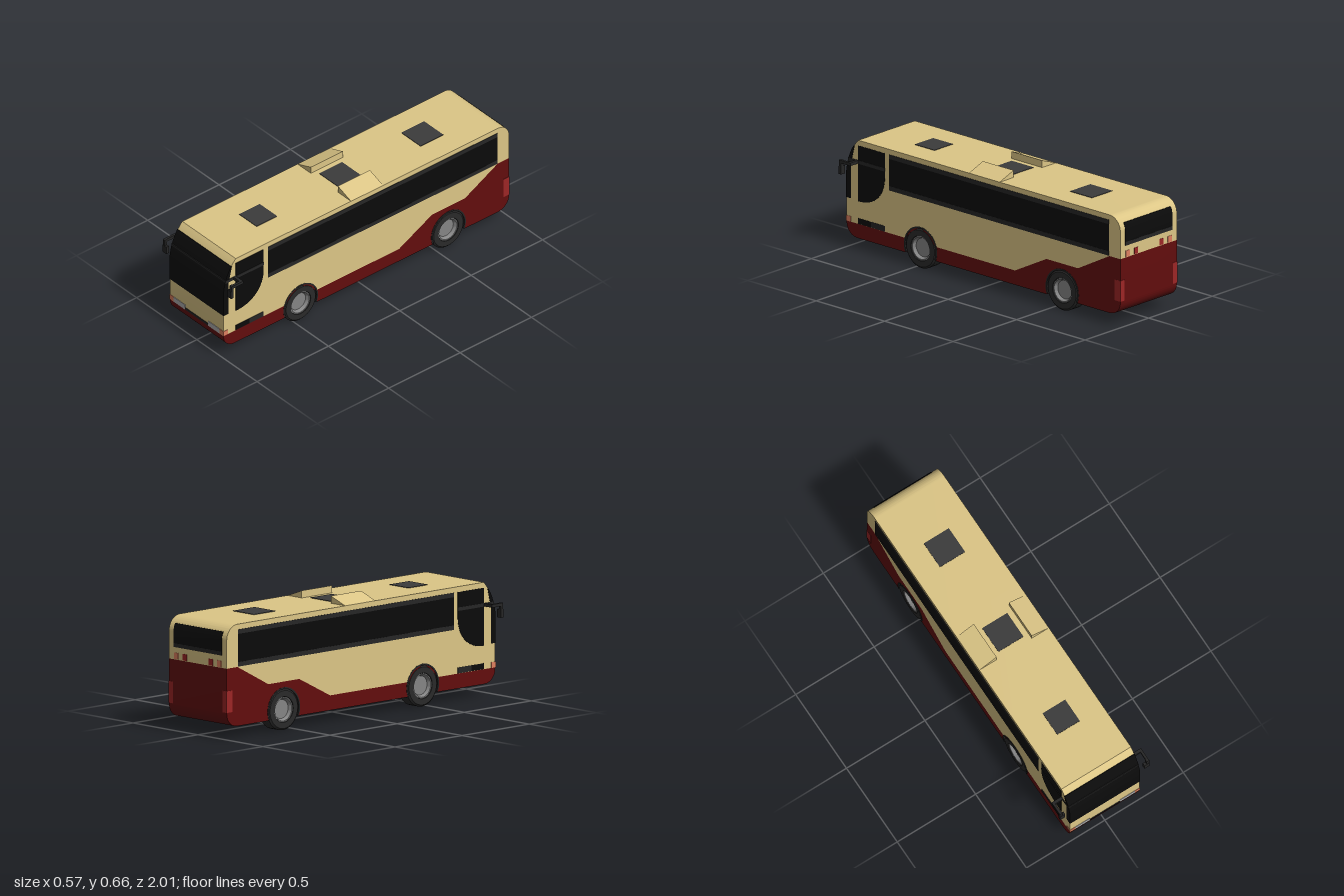
import * as THREE from 'three';
import { toCreasedNormals } from 'three/addons/utils/BufferGeometryUtils.js';

const W = 0.222;             // half width of the body
const SKIN = W + 0.0015;     // half width of glass and trim
const WHEEL_Z = [0.46, -0.575];
const WHEEL_Y = 0.113, ARCH_R = 0.12;

const paint = (color) => new THREE.MeshStandardMaterial({ color });
const MAT = {
  cream: paint(0xdcc686), red: paint(0x620d0d), glass: paint(0x0b0b0b), trim: paint(0x262626),
  floor: paint(0x131313), tyre: paint(0x2a2a2a), hatch: paint(0x3c3c3c), steel: paint(0x858585),
  lamp: paint(0xb2b2b2), amber: paint(0xdf8060), tail: paint(0x9c2626),
};

export function createModel() {
  const model = new THREE.Group();

  const add = (name, geometry, material, parent = model) => {
    const mesh = new THREE.Mesh(geometry, material);
    mesh.name = name;
    parent.add(mesh);
    return mesh;
  };
  // Extrude a side outline drawn in (z, y) from x0 to x1
  const slab = (name, shape, material, x0 = -SKIN, x1 = SKIN) => {
    const g = new THREE.ExtrudeGeometry(shape, { depth: x1 - x0, bevelEnabled: false, curveSegments: 16 });
    g.rotateY(-Math.PI / 2).translate(x1, 0, 0);
    return add(name, toCreasedNormals(g, 0.5), material);
  };
  const poly = (points) => new THREE.Shape(points.map(([z, y]) => new THREE.Vector2(z, y)));
  const rect = (z0, z1, y0, y1) => poly([[z0, y0], [z1, y0], [z1, y1], [z0, y1]]);
  const box = (name, material, x0, x1, y0, y1, z0, z1, parent) => {
    const g = new THREE.BoxGeometry(x1 - x0, y1 - y0, z1 - z0);
    g.translate((x0 + x1) / 2, (y0 + y1) / 2, (z0 + z1) / 2);
    return add(name, g, material, parent);
  };

  // Curved nose above the vertical front panel
  const nose = new THREE.QuadraticBezierCurve(
    new THREE.Vector2(1, 0.43), new THREE.Vector2(0.985, 0.55), new THREE.Vector2(0.915, 0.62)).getPoints(12);

  // Wheel arch cut into an edge at height y, walking from rear to front or back
  const arch = (shape, z, y, forward) => {
    const a = Math.asin((y - WHEEL_Y) / ARCH_R);
    if (forward) shape.absarc(z, WHEEL_Y, ARCH_R, Math.PI - a, a, true);
    else shape.absarc(z, WHEEL_Y, ARCH_R, a, Math.PI - a, false);
  };

  // Upper body
  const upper = new THREE.Shape();
  upper.moveTo(-1, 0.387).lineTo(-0.92, 0.387).lineTo(-0.69, 0.265).lineTo(-0.46, 0.265).lineTo(-0.23, 0.147);
  arch(upper, WHEEL_Z[0], 0.147, true);
  upper.lineTo(1, 0.147);
  nose.forEach((p) => upper.lineTo(p.x, p.y));
  upper.lineTo(-0.92, 0.62);
  upper.absarc(-0.92, 0.54, 0.08, Math.PI / 2, Math.PI, false);
  upper.closePath();
  slab('upperBody', upper, MAT.cream, -W, W);

  // Red skirt sweeping up to the rear
  const skirt = new THREE.Shape();
  skirt.moveTo(-0.925, 0.067);
  arch(skirt, WHEEL_Z[1], 0.067, true);
  arch(skirt, WHEEL_Z[0], 0.067, true);
  skirt.lineTo(0.925, 0.067);
  skirt.absarc(0.925, 0.142, 0.075, -Math.PI / 2, 0, false);
  skirt.lineTo(1, 0.147);
  arch(skirt, WHEEL_Z[0], 0.147, false);
  skirt.lineTo(-0.23, 0.147).lineTo(-0.46, 0.265).lineTo(-0.69, 0.265).lineTo(-0.92, 0.387).lineTo(-1, 0.387);
  skirt.lineTo(-1, 0.142);
  skirt.absarc(-0.925, 0.142, 0.075, Math.PI, Math.PI * 1.5, false);
  slab('lowerSkirt', skirt, MAT.red, -W, W);

  // Underside: chassis between the wheels and floor panels between the arches
  box('chassis', MAT.floor, -0.142, 0.142, 0.0655, 0.236, -0.92, 0.92);
  for (const [z0, z1] of [[0.575, 0.92], [-0.46, 0.345], [-0.92, -0.69]])
    box('floorPanel', MAT.floor, -0.221, 0.221, 0.0655, 0.07, z0, z1);

  // Windscreen wrapped over the nose
  slab('windscreen', poly([[0.967, 0.28], [1.002, 0.28],
    ...nose.slice(0, 10).map((p) => [p.x + 0.002, p.y + 0.001]), [0.942, 0.583], [0.967, 0.48]]), MAT.glass);

  // Cab window with a rounded lower rear corner
  const cab = new THREE.Shape();
  cab.moveTo(0.915, 0.275).lineTo(0.915, 0.59).lineTo(0.72, 0.59).lineTo(0.72, 0.46);
  cab.bezierCurveTo(0.72, 0.35, 0.79, 0.275, 0.915, 0.275);
  slab('cabWindow', cab, MAT.glass);
  slab('frontBand', rect(0.72, 0.989, 0.488, 0.507), MAT.trim, -W - 0.003, W + 0.003);

  // Passenger windows with rails
  slab('sideWindows', rect(-0.917, 0.69, 0.39, 0.59), MAT.glass);
  slab('upperWindowRail', rect(-0.917, 0.69, 0.567, 0.591), MAT.trim, -W - 0.0025, W + 0.0025);
  slab('lowerWindowRail', rect(-0.917, 0.69, 0.389, 0.414), MAT.trim, -W - 0.0025, W + 0.0025);

  // Side vents behind the bumper
  slab('sideVent', rect(0.82, 0.915, 0.148, 0.18), MAT.glass);
  slab('sideVentCover', rect(0.72, 0.82, 0.148, 0.18), MAT.trim);

  // Rear window following the roof curve
  slab('rearWindow', poly([[-0.96, 0.455], [-0.96, 0.583], [-0.991, 0.583], [-0.999, 0.565],
    [-1.003, 0.54], [-1.003, 0.455]]), MAT.glass, -0.185, 0.185);
  box('rearWindowRail', MAT.trim, -0.185, 0.185, 0.455, 0.476, -1.004, -0.99);

  // Front grille
  box('grille', MAT.trim, -0.096, 0.096, 0.147, 0.161, 0.98, 1.0025);

  // Roof hatches
  for (const [z, r] of [[0.57, 0.072], [-0.005, 0.08], [-0.58, 0.08]])
    box('roofHatch', MAT.hatch, -r, r, 0.61, 0.6225, z - r, z + r);

  // Wheel profiles: radius, distance along the axle
  const turned = (points) => {
    const g = new THREE.LatheGeometry(points.map(([r, h]) => new THREE.Vector2(r, h)), 40);
    return toCreasedNormals(g.rotateZ(-Math.PI / 2), 0.6);
  };
  const tyre = turned([[0, 0], [0.1, 0], [0.113, 0.008], [0.113, 0.071], [0.103, 0.08], [0.07, 0.08], [0.066, 0.06]]);
  const rim = turned([[0.068, 0.076], [0.062, 0.076], [0.052, 0.058], [0, 0.058]]);

  for (const s of [1, -1]) {
    const pair = (name, mat, a, b, ...rest) => box(name, mat, Math.min(s * a, s * b), Math.max(s * a, s * b), ...rest);

    // Lamps
    pair('headlight', MAT.lamp, 0.096, 0.19, 0.147, 0.178, 0.98, 1.0025);
    pair('indicator', MAT.amber, 0.19, SKIN, 0.147, 0.178, 0.97, 1.0025);
    pair('tailLight', MAT.tail, 0.19, SKIN, 0.147, 0.265, -1.002, -0.96);
    pair('rearMarker', MAT.amber, 0.15, 0.18, 0.39, 0.425, -1.002, -0.98);
    pair('rearBrakeLight', MAT.tail, 0.085, 0.115, 0.39, 0.425, -1.002, -0.98);

    // Mirrors on forward-reaching arms
    pair('mirrorBracket', MAT.trim, 0.21, 0.285, 0.489, 0.506, 0.915, 0.932);
    pair('mirrorArm', MAT.trim, 0.271, 0.285, 0.489, 0.506, 0.915, 0.998);
    pair('mirrorStem', MAT.trim, 0.268, 0.285, 0.43, 0.506, 0.982, 0.998);
    pair('mirror', MAT.trim, 0.253, 0.285, 0.426, 0.471, 0.982, 1);

    // Wedge fairing on the roof, high towards the centre line
    const wedge = new THREE.Shape();
    wedge.moveTo(s * 0.112, 0.615).lineTo(s * W, 0.615).lineTo(s * W, 0.62).lineTo(s * 0.112, 0.66).closePath();
    const wedgeGeo = new THREE.ExtrudeGeometry(wedge, { depth: 0.225, bevelEnabled: false });
    add('roofFairing', wedgeGeo.translate(0, 0, -0.118), MAT.cream);

    // Wheels
    for (const z of WHEEL_Z) {
      const wheel = new THREE.Group();
      wheel.name = 'wheel';
      add('tyre', tyre, MAT.tyre, wheel);
      add('rim', rim, MAT.steel, wheel);
      wheel.position.set(s * 0.143, WHEEL_Y, z);
      wheel.rotation.y = s > 0 ? 0 : Math.PI;
      model.add(wheel);

      // Dark arch lip around the wheel
      const lip = new THREE.Shape();
      lip.absarc(z, WHEEL_Y, ARCH_R + 0.001, -0.38, Math.PI + 0.38, false);
      lip.absarc(z, WHEEL_Y, 0.112, Math.PI + 0.38, -0.38, true);
      slab('wheelArch', lip, MAT.trim, s > 0 ? 0.14 : -SKIN, s > 0 ? SKIN : -0.14);
    }
  }
  return model;
}
